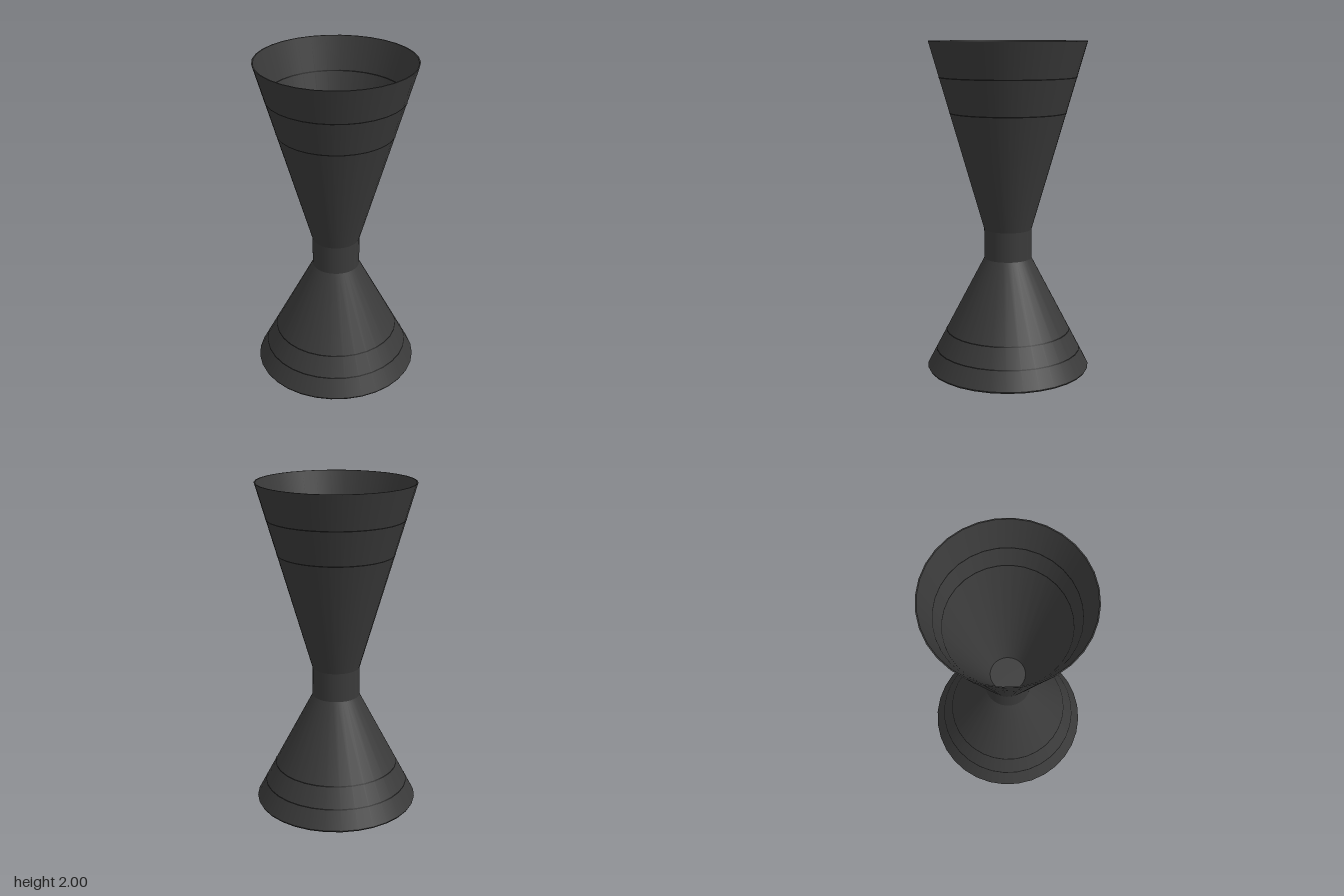
import * as THREE from 'three';

const SEGMENTS = 32;

export function createModel() {
  const metal = new THREE.MeshStandardMaterial({ color: 0x3a3a3a });
  metal.name = 'dark metal';
  const line = new THREE.MeshStandardMaterial({ color: 0x161616 });
  line.name = 'black measuring line';

  const model = new THREE.Group();
  model.name = 'doubleMeasuringCup';

  // One turned surface between two profile points; separate spans keep edges sharp.
  const addSpan = (name, a, b, material) => {
    const points = [new THREE.Vector2(...a), new THREE.Vector2(...b)];
    const mesh = new THREE.Mesh(new THREE.LatheGeometry(points, SEGMENTS), material);
    mesh.name = name;
    model.add(mesh);
  };

  // Closed wall profile, from the underside cup round to the upper cup floor.
  const topOuter = [0.472, 2], topInner = [0.465, 2], floor = [0.11, 0.88];
  const baseOuter = [0.5, 0.01], baseInner = [0.49, 0], ceiling = [0.11, 0.67];
  const waistLow = [0.145, 0.69], waistHigh = [0.145, 0.87];
  addSpan('lowerCupFloor', [0, 0.67], ceiling, metal);
  addSpan('lowerCupInside', ceiling, baseInner, metal);
  addSpan('lowerRim', baseInner, [0.495, 0], metal);
  addSpan('lowerRimEdge', [0.495, 0], baseOuter, metal);
  addSpan('lowerCupOutside', baseOuter, waistLow, metal);
  addSpan('waist', waistLow, waistHigh, metal);
  addSpan('upperCupOutside', waistHigh, topOuter, metal);
  addSpan('upperRim', topOuter, topInner, metal);
  addSpan('upperCupInside', topInner, floor, metal);
  addSpan('upperCupFloor', floor, [0, 0.88], metal);

  // Thin line lying just off the wall that runs from a to b, at height y.
  const addLine = (name, a, b, y) => {
    const wall = new THREE.Vector2(b[0] - a[0], b[1] - a[1]).normalize();
    const t = (y - a[1]) / (b[1] - a[1]);
    const r = a[0] + (b[0] - a[0]) * t;
    const at = (s) => [r + wall.x * s + wall.y * 0.0015, y + wall.y * s - wall.x * 0.0015];
    addSpan(name, at(-0.004), at(0.004), line);
  };
  for (const y of [1.79, 1.58]) addLine('upperOuterLine', waistHigh, topOuter, y);
  for (const y of [1.8, 1.67]) addLine('upperInnerLine', topInner, floor, y);
  for (const y of [0.24, 0.12]) addLine('lowerOuterLine', baseOuter, waistLow, y);
  addLine('lowerInnerLine', ceiling, baseInner, 0.38);

  return model;
}
